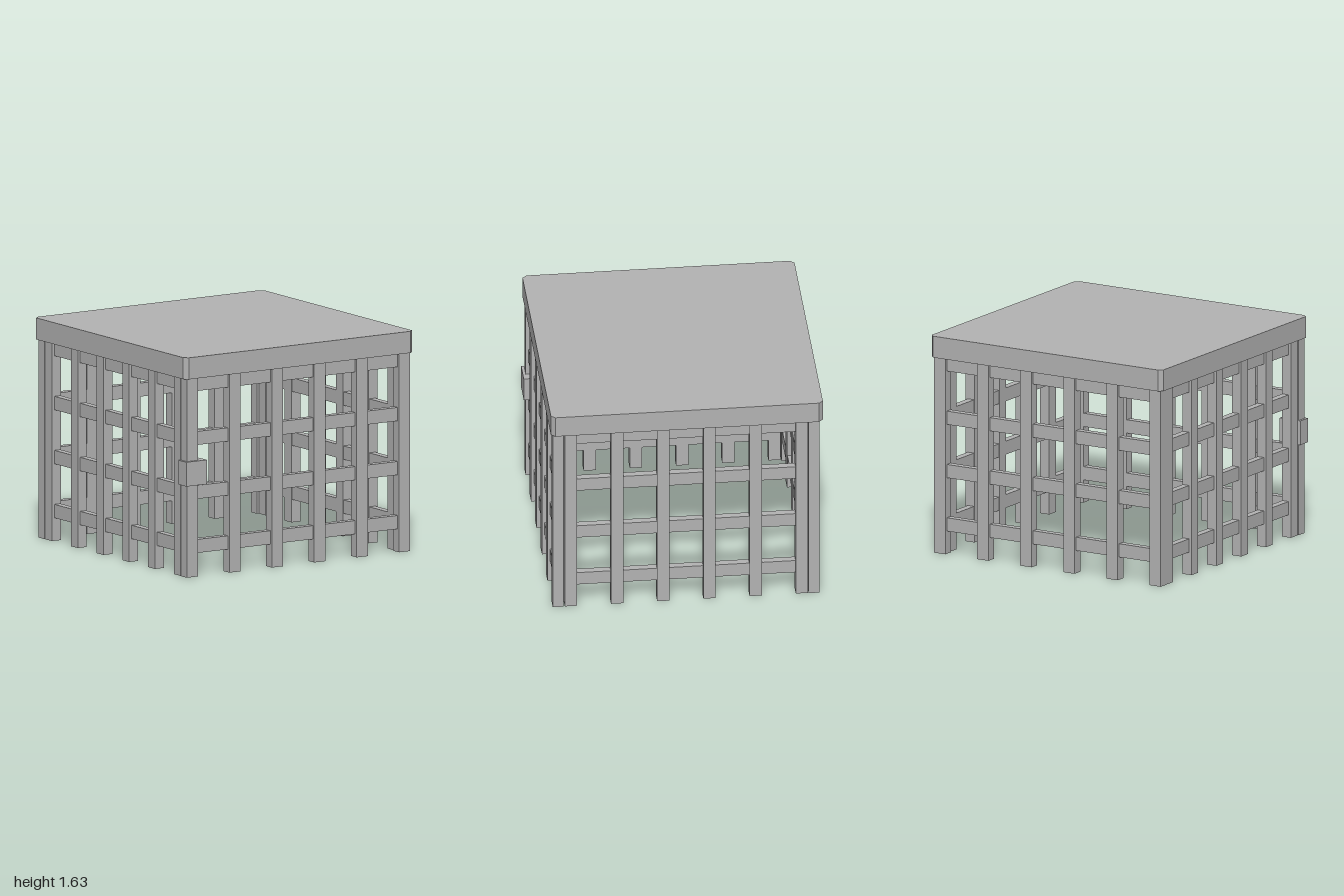
import * as THREE from 'three';

export function createModel() {
  const model = new THREE.Group();
  const grey = new THREE.MeshStandardMaterial({ color: 0xb3b3b3 });
  grey.name = 'plain grey';

  const box = (parent, name, w, h, d, x, y, z) => {
    const mesh = new THREE.Mesh(new THREE.BoxGeometry(w, h, d), grey);
    mesh.name = name;
    mesh.position.set(x, y, z);
    parent.add(mesh);
  };

  const roofBottom = 1.47;
  const barHeights = [0.22, 0.62, 1.02, 1.42];

  // One lattice wall lying along x: six posts with rails running between them
  const lattice = (name, firstPost, spacing, postWidth) => {
    const wall = new THREE.Group();
    wall.name = name;
    for (let i = 0; i < 6; i++) {
      box(wall, 'post', postWidth, roofBottom, 0.078, firstPost + i * spacing, roofBottom / 2, 0);
      if (i === 5) continue;
      for (const y of barHeights) {
        box(wall, 'rail', spacing - postWidth, 0.1, 0.055,
          firstPost + (i + 0.5) * spacing, y, -0.008);
      }
    }
    model.add(wall);
    return wall;
  };

  // Front and back walls
  lattice('frontWall', -0.93, 0.3715, 0.097).position.z = 0.94;
  const back = lattice('backWall', -0.93, 0.3715, 0.097);
  back.position.z = -0.934;
  back.rotation.y = Math.PI;

  // Side walls, fitted between the front and back walls
  for (const side of [1, -1]) {
    const wall = lattice(side > 0 ? 'leftWall' : 'rightWall', -0.846, 0.3385, 0.09);
    wall.position.x = side * 0.935;
    wall.rotation.y = side * Math.PI / 2;
  }

  // Roof slab with chamfered corners
  const c = 0.03, x = 1, f = 0.993, b = 1;
  const outline = new THREE.Shape([
    [-x + c, -f], [x - c, -f], [x, -f + c], [x, b - c],
    [x - c, b], [-x + c, b], [-x, b - c], [-x, -f + c],
  ].map(([px, py]) => new THREE.Vector2(px, py)));
  const roofGeometry = new THREE.ExtrudeGeometry(outline, { depth: 0.16, bevelEnabled: false });
  roofGeometry.rotateX(-Math.PI / 2);
  const roof = new THREE.Mesh(roofGeometry, grey);
  roof.name = 'roof';
  roof.position.y = roofBottom;
  model.add(roof);

  // Lock on the front corner post
  box(model, 'lock', 0.18, 0.18, 0.105, -0.907, 0.77, 0.9475);

  return model;
}
